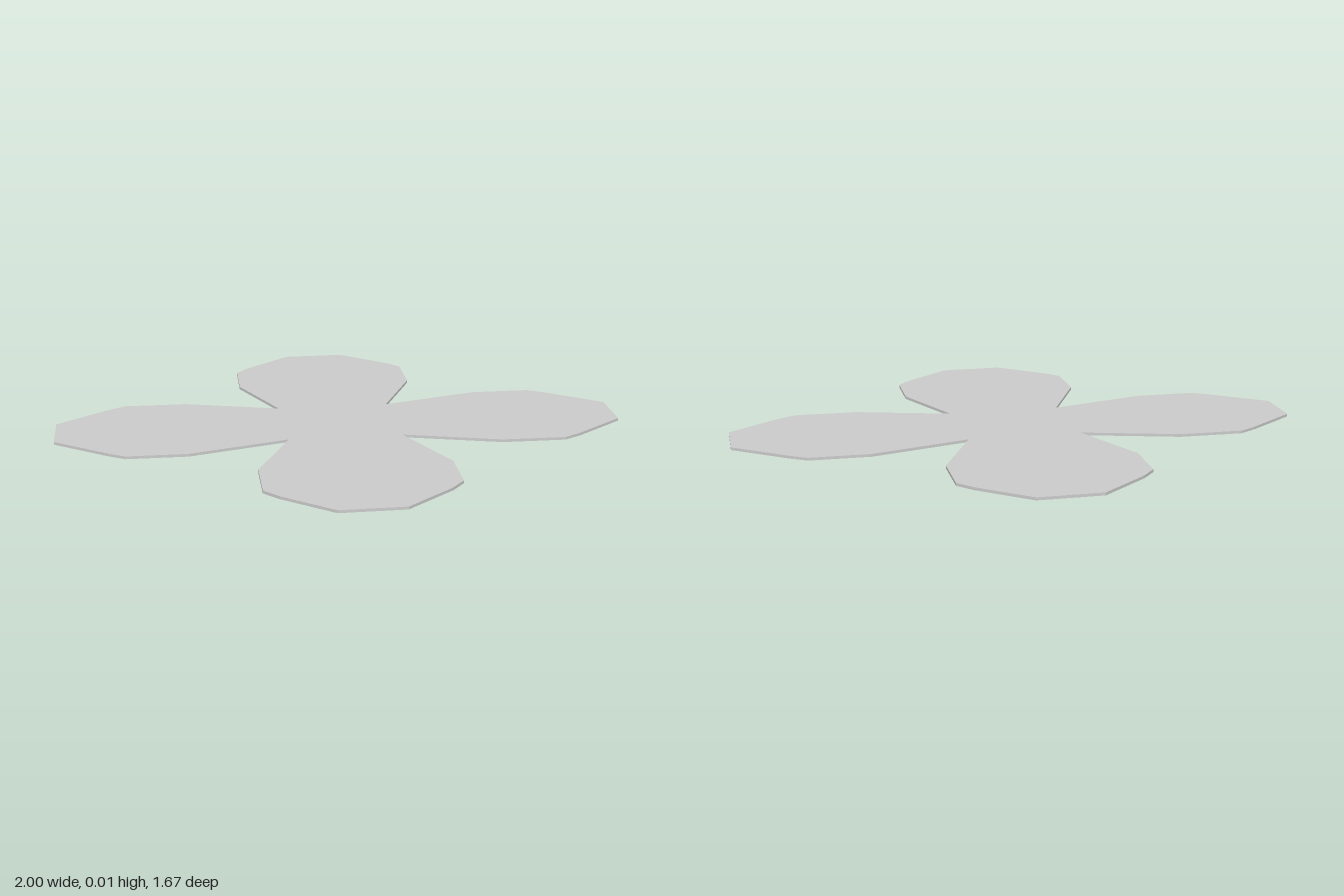
import * as THREE from 'three';

const THICKNESS = 0.01;

// Two neighbouring petals as [x, z]; the other two are a half turn of these.
const petalPair = [
  // back petal
  [-0.14, -0.23], [-0.17, -0.54], [-0.11, -0.715], [-0.045, -0.755],
  [0.16, -0.835], [0.375, -0.765], [0.49, -0.58], [0.52, -0.51], [0.46, -0.33],
  // left petal
  [0.245, -0.1], [0.615, -0.085], [0.82, -0.015], [0.865, 0.04],
  [1.0, 0.235], [0.94, 0.415], [0.72, 0.49], [0.65, 0.505], [0.435, 0.43],
];

export function createModel() {
  const group = new THREE.Group();
  group.name = 'flower';

  // Full outline, drawn in the XY plane with y = -z
  const outline = [1, -1].flatMap((s) =>
    petalPair.map(([x, z]) => new THREE.Vector2(s * x, -s * z)));

  // Thin plate laid flat on the ground
  const geometry = new THREE.ExtrudeGeometry(new THREE.Shape(outline), {
    depth: THICKNESS,
    bevelEnabled: false,
  });
  geometry.rotateX(-Math.PI / 2);

  const petals = new THREE.Mesh(
    geometry,
    new THREE.MeshStandardMaterial({ color: 0xcccccc, flatShading: true }),
  );
  petals.name = 'petals';
  group.add(petals);
  return group;
}
